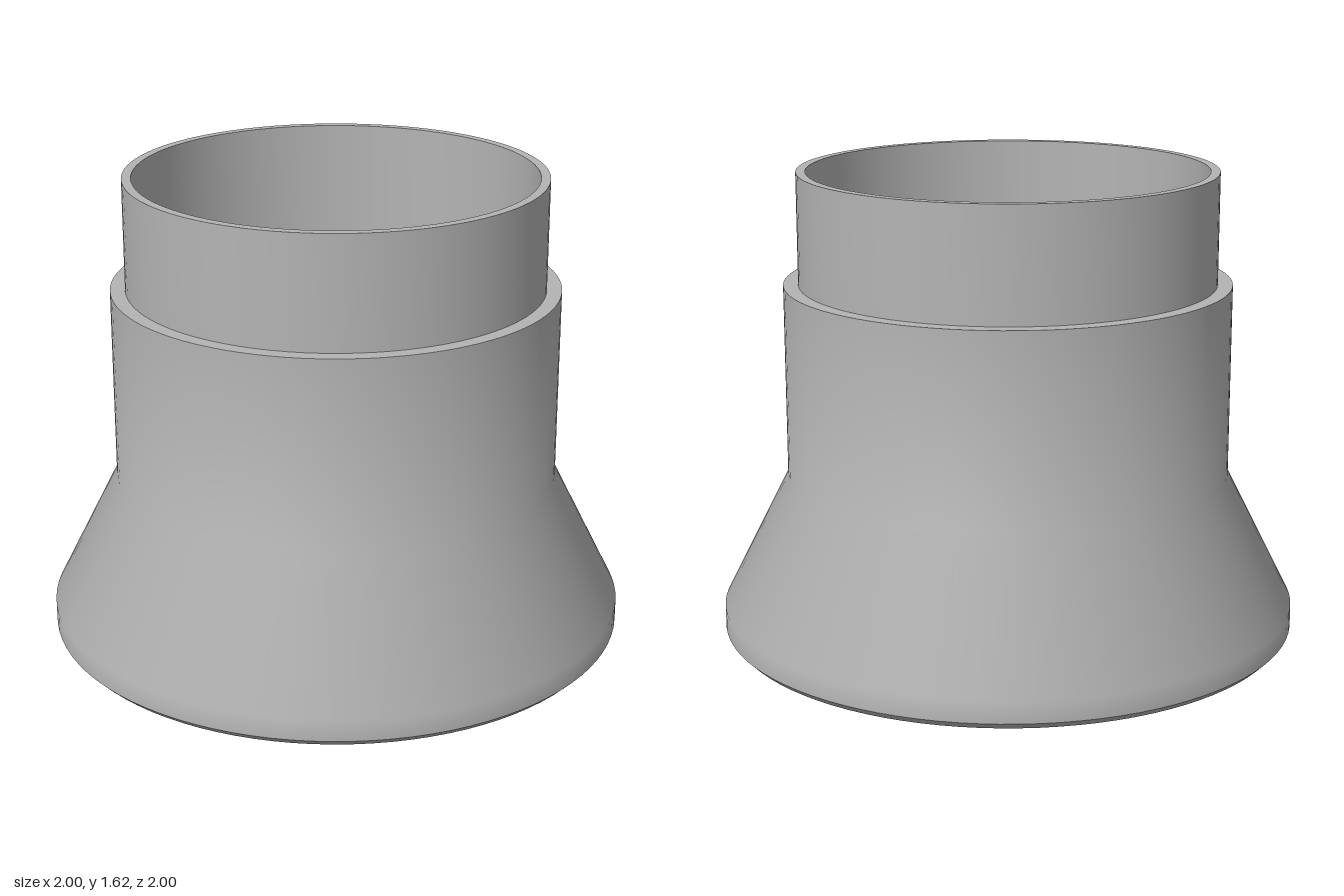
import * as THREE from 'three';
import { toCreasedNormals } from 'three/addons/utils/BufferGeometryUtils.js';

export function createModel() {
  const model = new THREE.Group();
  model.name = 'flaredSocket';

  const grey = new THREE.MeshStandardMaterial({ color: 0xb4b4b4 });
  grey.name = 'grey';

  // Revolve a bottom-to-top profile, keeping edges sharper than about 34 degrees crisp
  const addTurned = (name, profile) => {
    const points = profile.map(([r, y]) => new THREE.Vector2(r, y));
    const mesh = new THREE.Mesh(toCreasedNormals(new THREE.LatheGeometry(points, 96), 0.6), grey);
    mesh.name = name;
    model.add(mesh);
  };

  // Closed underside, bevelled foot, flared skirt, straight body and its shoulder
  addTurned('flaredBody', [
    [0, 0], [0.975, 0], [1, 0.025], [1, 0.1],
    [0.768, 0.56], [0.768, 1.23], [0.717, 1.23],
  ]);

  // Thin collar standing on the shoulder, with its flat rim
  addTurned('collar', [[0.717, 1.23], [0.717, 1.615], [0.685, 1.615]]);

  // Deep bore running down to a bevelled floor
  addTurned('bore', [[0.685, 1.615], [0.685, 0.17], [0.62, 0.1], [0, 0.1]]);

  return model;
}
